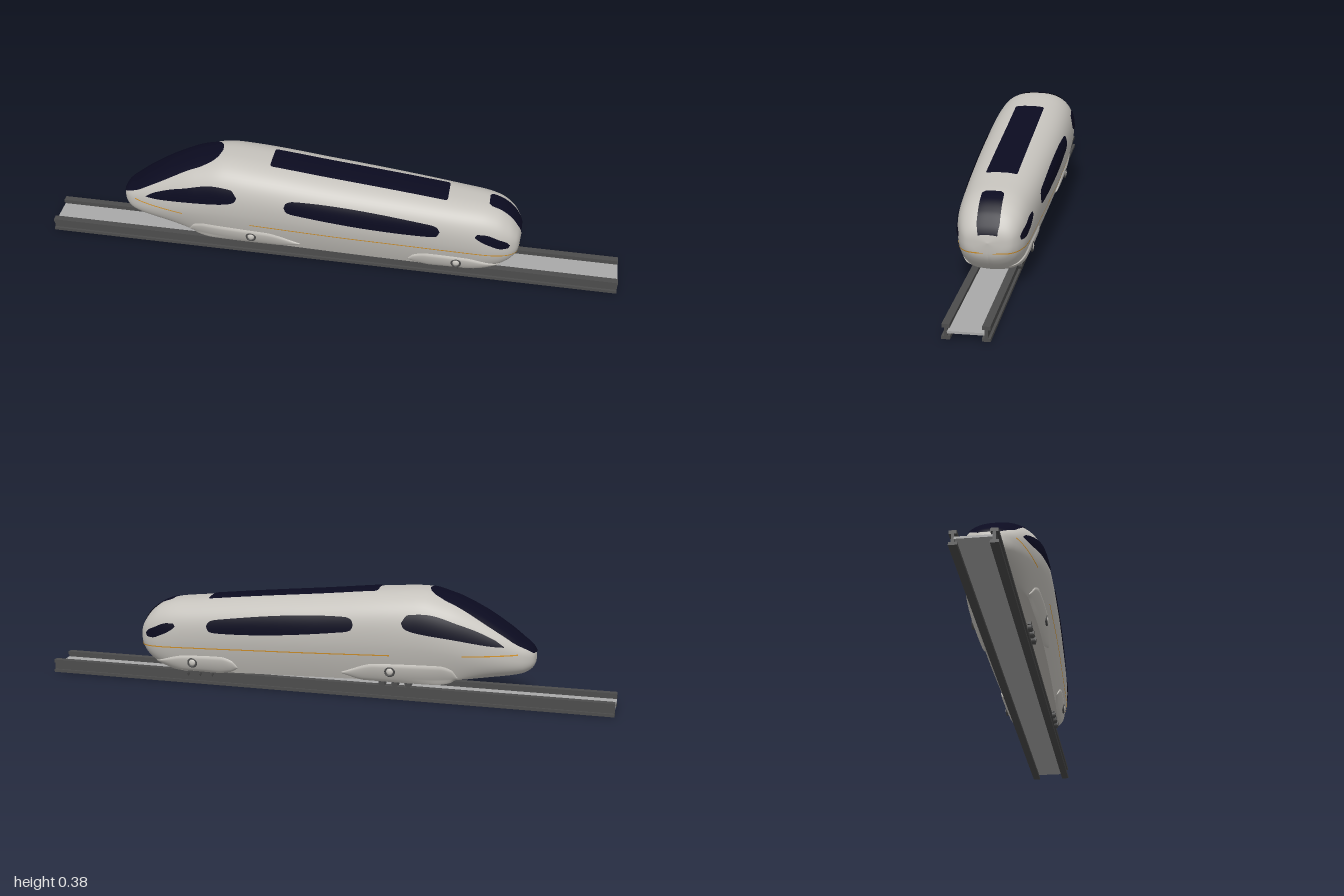
import * as THREE from 'three';

const mat = (name, color, side = THREE.FrontSide) => {
  const m = new THREE.MeshStandardMaterial({ color, side });
  m.name = name;
  return m;
};

// Monotone cubic lookup in a table of rows [x, value, ...]
function lookup(rows, x, c = 1) {
  const n = rows.length;
  let i = 0;
  while (i < n - 2 && x > rows[i + 1][0]) i++;
  const slope = j => (rows[j + 1][c] - rows[j][c]) / (rows[j + 1][0] - rows[j][0]);
  const tangent = j => {
    if (j === 0) return slope(0);
    if (j === n - 1) return slope(n - 2);
    const a = slope(j - 1), b = slope(j);
    return a * b <= 0 ? 0 : 2 * a * b / (a + b);
  };
  const h = rows[i + 1][0] - rows[i][0];
  const t = THREE.MathUtils.clamp((x - rows[i][0]) / h, 0, 1), t2 = t * t, t3 = t2 * t;
  return (2 * t3 - 3 * t2 + 1) * rows[i][c] + (t3 - 2 * t2 + t) * h * tangent(i)
    + (3 * t2 - 2 * t3) * rows[i + 1][c] + (t3 - t2) * h * tangent(i + 1);
}

// Hull stations: x, bottom, height of widest point, top, half width
const HULL = [
  [-0.735, 0.165, 0.165, 0.165, 0], [-0.73, 0.143, 0.167, 0.188, 0.03],
  [-0.715, 0.125, 0.17, 0.207, 0.052], [-0.69, 0.112, 0.175, 0.225, 0.07],
  [-0.64, 0.103, 0.185, 0.262, 0.09], [-0.55, 0.095, 0.2, 0.317, 0.112],
  [-0.45, 0.088, 0.222, 0.36, 0.13], [-0.35, 0.08, 0.238, 0.382, 0.138],
  [-0.25, 0.075, 0.24, 0.376, 0.14], [0, 0.067, 0.225, 0.35, 0.137],
  [0.25, 0.058, 0.21, 0.325, 0.128], [0.45, 0.05, 0.19, 0.303, 0.119],
  [0.53, 0.047, 0.18, 0.294, 0.114], [0.58, 0.055, 0.175, 0.28, 0.107],
  [0.62, 0.075, 0.172, 0.252, 0.094], [0.645, 0.103, 0.168, 0.218, 0.076],
  [0.655, 0.125, 0.165, 0.195, 0.055], [0.66, 0.165, 0.165, 0.165, 0],
];
const P = 2.6;
const round = v => Math.pow(Math.max(0, 1 - Math.pow(Math.min(1, Math.abs(v)), P)), 1 / P);
const station = x => {
  const [bot, mid, top, w] = [1, 2, 3, 4].map(c => lookup(HULL, x, c));
  // Straight lower flanks in the middle, rounded at the nose and tail
  const k = THREE.MathUtils.smoothstep(x, -0.72, -0.45) * (1 - THREE.MathUtils.smoothstep(x, 0.48, 0.65));
  return { bot, mid, top, w, k };
};
const flank = (x, y) => {
  const s = station(x);
  if (y >= s.mid) return s.w * round((y - s.mid) / Math.max(1e-6, s.top - s.mid));
  const v = Math.min(1, (s.mid - y) / Math.max(1e-6, s.mid - s.bot));
  return s.w * THREE.MathUtils.lerp(round(v), 1 - 0.29 * Math.pow(v, 1.6), s.k);
};
const roofY = (x, z) => {
  const s = station(x);
  return s.mid + (s.top - s.mid) * round(z / Math.max(1e-6, s.w));
};

// Surface grid from point(s, t), pushed outwards along its normals by lift
function grid(ns, nt, point, lift = 0) {
  const pos = [], idx = [];
  for (let i = 0; i <= ns; i++) for (let j = 0; j <= nt; j++) pos.push(...point(i / ns, j / nt));
  for (let i = 0; i < ns; i++) for (let j = 0; j < nt; j++) {
    const a = i * (nt + 1) + j, b = a + nt + 1;
    idx.push(a, b, b + 1, a, b + 1, a + 1);
  }
  const g = new THREE.BufferGeometry();
  g.setAttribute('position', new THREE.Float32BufferAttribute(pos, 3));
  g.setIndex(idx);
  g.computeVertexNormals();
  const p = g.attributes.position, n = g.attributes.normal;
  for (let i = 0; i < p.count; i++) {
    p.setXYZ(i, p.getX(i) + lift * n.getX(i), p.getY(i) + lift * n.getY(i), p.getZ(i) + lift * n.getZ(i));
  }
  return g;
}
const ease = s => (1 - Math.cos(Math.PI * s)) / 2;

// Patch on a flank between two height tables
function flankPatch(side, lo, hi, lift, bulge = 0, nt = 10) {
  const x0 = lo[0][0], x1 = lo[lo.length - 1][0];
  return grid(64, nt, (s, t) => {
    const u = side > 0 ? s : 1 - s, x = x0 + (x1 - x0) * ease(u);
    const y = THREE.MathUtils.lerp(lookup(lo, x), lookup(hi, x), t);
    const out = bulge * Math.pow(Math.max(0, Math.sin(Math.PI * t) * Math.sin(Math.PI * u)), 0.4);
    return [x, y, side * (flank(x, y) + out)];
  }, lift);
}
// Patch on the roof with a half-width table
function roofPatch(half) {
  const x0 = half[0][0], x1 = half[half.length - 1][0];
  return grid(64, 16, (s, t) => {
    const x = x0 + (x1 - x0) * ease(s), z = lookup(half, x) * (1 - 2 * t);
    return [x, roofY(x, z), z];
  }, 0.003);
}

export function createModel() {
  const root = new THREE.Group();
  const white = mat('pale body', 0xc6c3bd, THREE.DoubleSide);
  const glass = mat('dark glass', 0x0b0b20, THREE.DoubleSide);
  const orange = mat('orange stripe', 0xdb982c, THREE.DoubleSide);
  const steel = mat('dark steel', 0x4c4c4c);
  const slab = mat('grey track bed', 0xa9a9a9);
  const add = (name, geo, material, parent = root) => {
    const m = new THREE.Mesh(geo, material);
    m.name = name;
    parent.add(m);
    return m;
  };
  const box = (name, w, h, d, x, y, z, material, parent) =>
    add(name, new THREE.BoxGeometry(w, h, d), material, parent).position.set(x, y, z);

  // Hull shell and floor
  const hullX = s => -0.735 + 1.395 * ease(s);
  add('hull', grid(120, 64, (s, t) => {
    const x = hullX(s), h = station(x);
    const side = t <= 0.5 ? 1 : -1, a = (t <= 0.5 ? t : 1 - t) * 2 * Math.PI - Math.PI / 2;
    const v = Math.pow(Math.abs(Math.sin(a)), 2 / P);
    if (a < 0) {
      const y = h.mid - v * (h.mid - h.bot);
      return [x, y, side * flank(x, y)];
    }
    return [x, h.mid + v * (h.top - h.mid), side * h.w * Math.pow(Math.abs(Math.cos(a)), 2 / P)];
  }), white);
  add('hullFloor', grid(120, 8, (s, t) => {
    const x = hullX(s), h = station(x), c = 2 * t - 1;
    return [x, h.bot - 0.006 * h.k * (1 - c * c), c * flank(x, h.bot)];
  }), white);

  // Roof glazing
  add('windshield', roofPatch([[-0.731, 0.012], [-0.725, 0.034], [-0.7, 0.054], [-0.65, 0.072],
    [-0.56, 0.08], [-0.45, 0.074], [-0.4, 0.058], [-0.38, 0.035], [-0.372, 0.002]]), glass);
  add('roofWindow', roofPatch([[-0.2, 0.044], [-0.193, 0.05], [0.398, 0.05], [0.405, 0.044]]), glass);
  add('tailWindow', roofPatch([[0.543, 0.024], [0.555, 0.034], [0.64, 0.035], [0.656, 0.03]]), glass);

  // Side glazing, stripes and wheel fairings, mirrored
  const stripeY = x => 0.16 - 0.042 * x;
  for (const side of [1, -1]) {
    const tag = side > 0 ? 'left' : 'right';
    add(tag + 'FrontWindow', flankPatch(side,
      [[-0.635, 0.214], [-0.6, 0.217], [-0.47, 0.238], [-0.34, 0.257], [-0.31, 0.268], [-0.3, 0.285]],
      [[-0.635, 0.216], [-0.6, 0.24], [-0.5, 0.282], [-0.37, 0.316], [-0.32, 0.312], [-0.3, 0.287]], 0.003), glass);
    add(tag + 'MiddleWindow', flankPatch(side,
      [[-0.137, 0.268], [-0.13, 0.252], [-0.105, 0.243], [0.355, 0.203], [0.38, 0.207], [0.389, 0.224]],
      [[-0.137, 0.27], [-0.13, 0.286], [-0.105, 0.293], [0.355, 0.249], [0.38, 0.24], [0.389, 0.226]], 0.003), glass);
    add(tag + 'RearWindow', flankPatch(side,
      [[0.508, 0.213], [0.515, 0.206], [0.56, 0.181], [0.6, 0.167], [0.618, 0.168], [0.624, 0.178]],
      [[0.508, 0.215], [0.515, 0.224], [0.54, 0.223], [0.59, 0.204], [0.615, 0.191], [0.624, 0.18]], 0.003), glass);
    for (const [a, b] of [[-0.68, -0.5], [-0.26, 0.656]]) {
      add(tag + 'Stripe', flankPatch(side, [[a, stripeY(a) - 0.002], [b, stripeY(b) - 0.002]],
        [[a, stripeY(a) + 0.002], [b, stripeY(b) + 0.002]], 0.002, 0, 1), orange);
    }
    // Fairing: start, end, lower edge, upper edge, hub position
    for (const [a, b, lo, hi, hx, hy] of [[-0.485, -0.09, 0.07, 0.142, -0.26, 0.112], [0.285, 0.6, 0.05, 0.115, 0.45, 0.086]]) {
      add(tag + 'Fairing', flankPatch(side,
        [[a, lo + 0.025], [a + 0.03, lo + 0.008], [a + 0.08, lo], [b - 0.08, lo], [b, lo + 0.02]],
        [[a, lo + 0.03], [a + 0.02, hi - 0.012], [a + 0.06, hi], [b - 0.12, hi - 0.006], [b, lo + 0.026]], 0, 0.008), white);
      const hub = new THREE.Group();
      hub.name = tag + 'Hub';
      hub.position.set(hx, hy, side * (flank(hx, hy) + 0.008));
      root.add(hub);
      add('hubRing', new THREE.TorusGeometry(0.015, 0.0035, 8, 24), steel, hub);
      add('hubCap', new THREE.SphereGeometry(0.012, 16, 10).scale(1, 1, 0.5), white, hub);
    }
  }

  // Bogies
  for (const [name, x, y] of [['frontBogie', -0.27, 0.064], ['rearBogie', 0.443, 0.043]]) {
    const bogie = new THREE.Group();
    bogie.name = name;
    bogie.position.set(x, y, 0);
    bogie.rotation.z = -0.042;
    root.add(bogie);
    box('bolster', 0.05, 0.02, 0.14, 0, 0.012, 0, steel, bogie);
    for (const side of [1, -1]) {
      box('sideFrame', 0.125, 0.009, 0.012, 0, 0.006, side * 0.073, steel, bogie);
      for (const dx of [-0.045, 0, 0.045]) {
        const wheel = add('wheel', new THREE.CylinderGeometry(0.013, 0.013, 0.012, 16), steel, bogie);
        wheel.rotation.x = Math.PI / 2;
        wheel.position.set(dx, -0.004, side * 0.074);
        box('axleBox', 0.016, 0.012, 0.006, dx, -0.002, side * 0.079, steel, bogie);
      }
    }
  }

  // Track: two I-section rails joined by a flat bed
  for (const side of [1, -1]) {
    const rail = new THREE.Group();
    rail.name = side > 0 ? 'leftRail' : 'rightRail';
    rail.position.z = side * 0.058;
    root.add(rail);
    box('railFoot', 2, 0.01, 0.025, 0, 0.005, 0, steel, rail);
    box('railWeb', 2, 0.03, 0.009, 0, 0.023, 0, steel, rail);
    box('railHead', 2, 0.011, 0.023, 0, 0.0405, 0, steel, rail);
  }
  box('trackBed', 2, 0.007, 0.11, 0, 0.022, 0, slab);
  return root;
}
